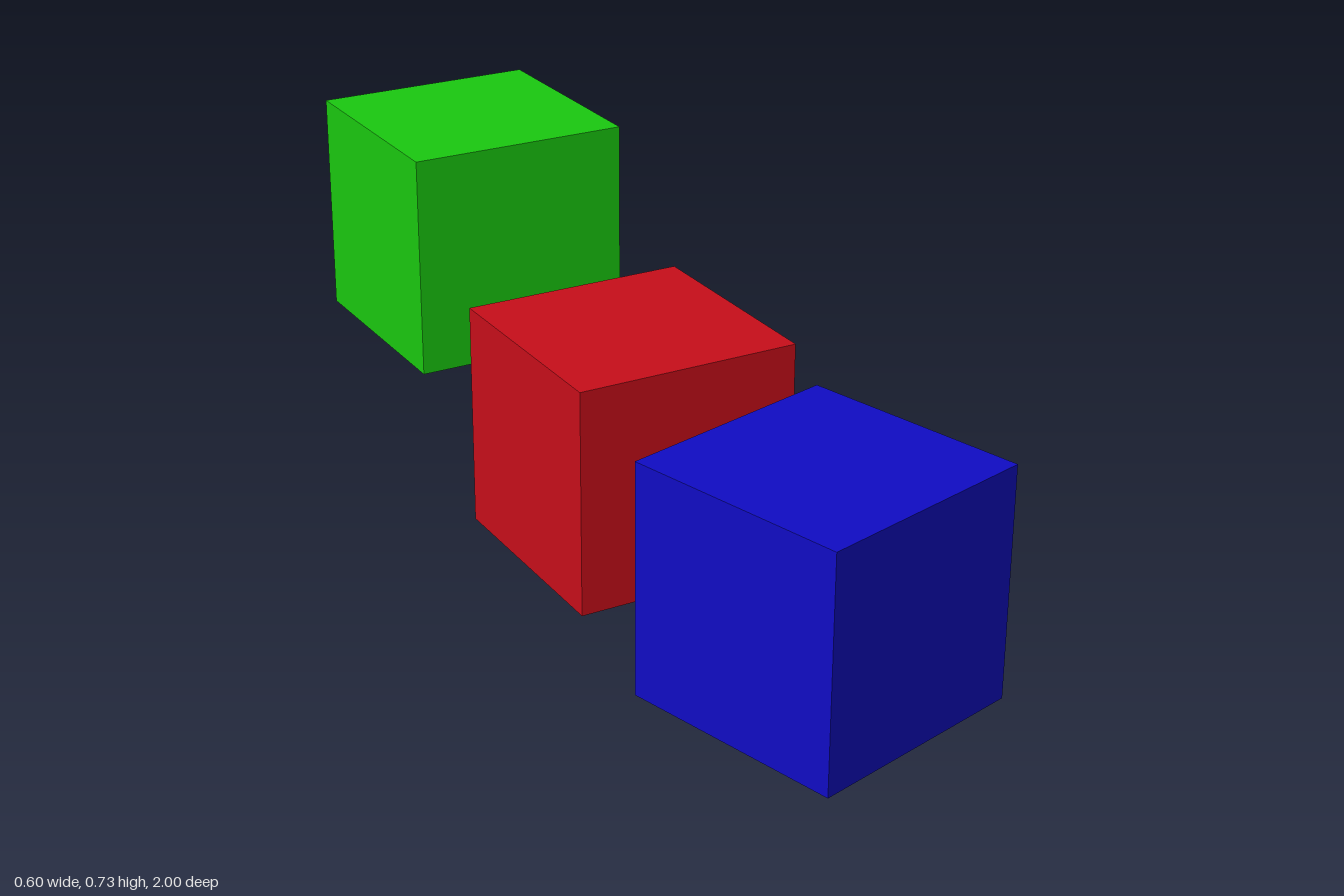
import * as THREE from 'three';

const SIZE = 0.4863;        // edge of every cube
const STEP = SIZE * 1.5;    // spacing of the row along z
const MIDDLE_Z = -0.0275;   // centre of the middle cube

export function createModel() {
  const model = new THREE.Group();
  model.name = 'cubeRow';
  const geometry = new THREE.BoxGeometry(SIZE, SIZE, SIZE);

  function addCube(name, color, slot, lift, turn) {
    const cube = new THREE.Mesh(geometry, new THREE.MeshStandardMaterial({ color }));
    cube.name = name;
    cube.position.set(0, SIZE / 2 + lift, MIDDLE_Z + slot * STEP);
    cube.rotation.y = turn;
    model.add(cube);
  }

  // Raised cube at the back, plain cube in the middle, turned cube in front
  addCube('raisedGreenCube', 0x1ac910, -1, SIZE / 2, 0);
  addCube('middleRedCube', 0xc80e1a, 0, 0, 0);
  addCube('turnedBlueCube', 0x100cc4, 1, 0, THREE.MathUtils.degToRad(15));

  return model;
}
